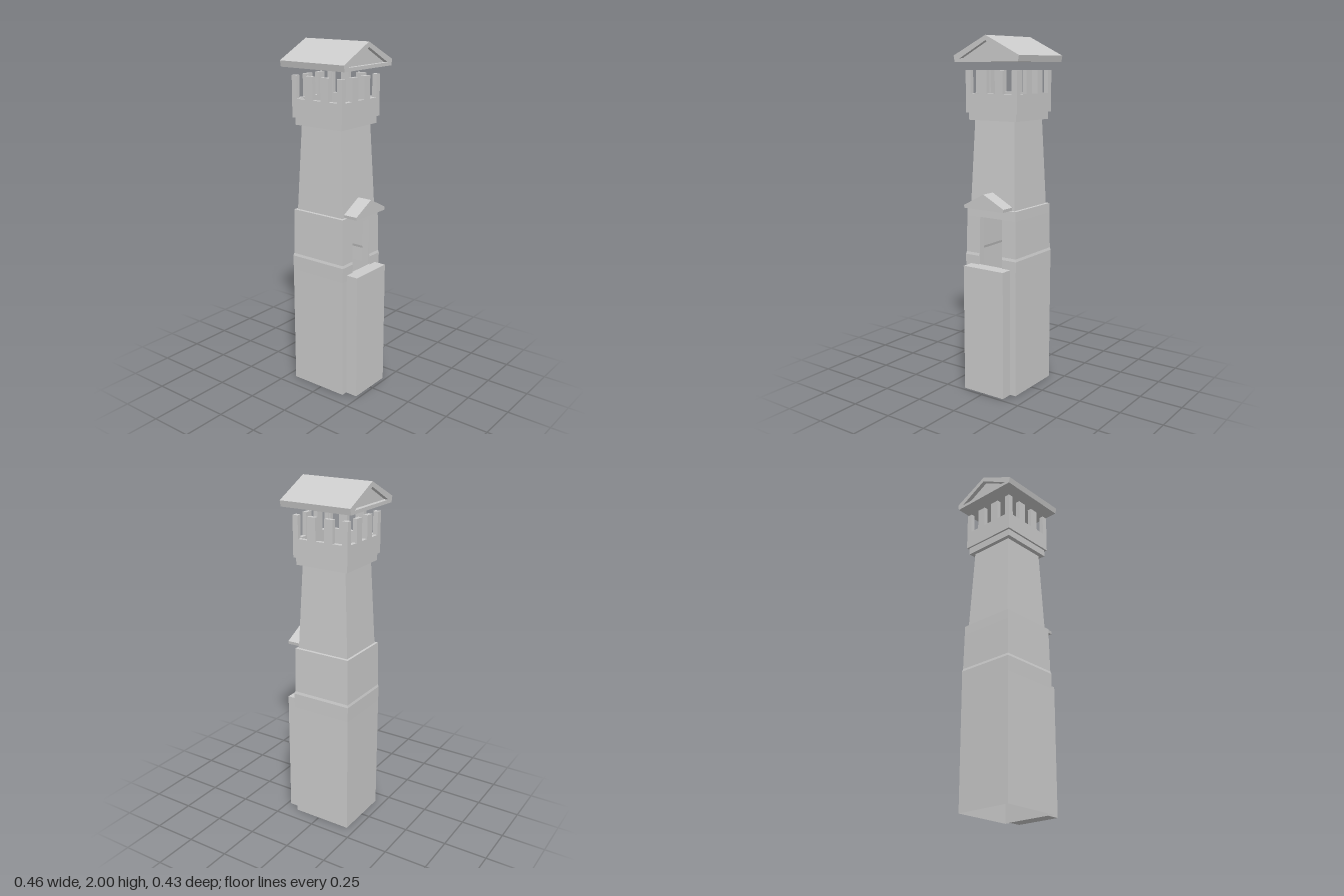
import * as THREE from 'three';

const grey = new THREE.MeshStandardMaterial({ color: 0xcccccc, flatShading: true, side: THREE.DoubleSide });
const CX = -0.02; // tower axis

function add(parent, name, geometry, x = 0, y = 0, z = 0) {
  const mesh = new THREE.Mesh(geometry, grey);
  mesh.name = name;
  mesh.position.set(x, y, z);
  parent.add(mesh);
  return mesh;
}

function box(parent, name, w, h, d, x, y, z) {
  return add(parent, name, new THREE.BoxGeometry(w, h, d), x, y, z);
}

function polygon(points, Type = THREE.Shape) {
  return new Type(points.map(([x, y]) => new THREE.Vector2(x, y)));
}

// Hollow tapering shaft from rectangular rings [y, half x, half z, door half width];
// a row whose rings both have a door width leaves an opening in its +x side.
function shaftGeometry(rings) {
  const pos = [];
  const quad = (a, b, c, d) => pos.push(...a, ...b, ...c, ...a, ...c, ...d);
  for (let i = 0; i + 1 < rings.length; i++) {
    const [y0, x0, z0, d0] = rings[i], [y1, x1, z1, d1] = rings[i + 1];
    quad([-x0, y0, z0], [x0, y0, z0], [x1, y1, z1], [-x1, y1, z1]);
    quad([x0, y0, -z0], [-x0, y0, -z0], [-x1, y1, -z1], [x1, y1, -z1]);
    quad([-x0, y0, -z0], [-x0, y0, z0], [-x1, y1, z1], [-x1, y1, -z1]);
    if (d0 && d1) {
      quad([x0, y0, z0], [x0, y0, d0], [x1, y1, d1], [x1, y1, z1]);
      quad([x0, y0, -d0], [x0, y0, -z0], [x1, y1, -z1], [x1, y1, -d1]);
    } else {
      quad([x0, y0, z0], [x0, y0, -z0], [x1, y1, -z1], [x1, y1, z1]);
    }
  }
  const g = new THREE.BufferGeometry();
  g.setAttribute('position', new THREE.Float32BufferAttribute(pos, 3));
  g.computeVertexNormals();
  return g;
}

// One parapet wall with three notches, centred on its length and thickness
function parapetWall(half, thickness) {
  const low = 1.692, top = 1.817;
  const pts = [[-half, 1.588], [half, 1.588], [half, top]];
  for (const [a, b] of [[0.137, 0.079], [0.027, -0.027], [-0.079, -0.137]]) {
    pts.push([a, top], [a, low], [b, low], [b, top]);
  }
  pts.push([-half, top]);
  const g = new THREE.ExtrudeGeometry(polygon(pts), { depth: thickness, bevelEnabled: false });
  return g.translate(0, 0, -thickness / 2);
}

// Extrude a (z, y) profile along x, from x0 to x1
function alongX(shape, x0, x1) {
  const g = new THREE.ExtrudeGeometry(shape, { depth: x1 - x0, bevelEnabled: false });
  return g.rotateY(Math.PI / 2).translate(x0, 0, 0);
}

export function createModel() {
  const model = new THREE.Group();
  model.name = 'watchtower';

  // Shaft: straight base, sloped ledge, doorway storey, step and tapered upper part
  add(model, 'shaft', shaftGeometry([
    [0, 0.178, 0.171, 0],
    [0.7, 0.179, 0.172, 0.08],
    [0.785, 0.18, 0.173, 0.081],
    [0.8, 0.176, 0.169, 0.079],
    [1.01, 0.173, 0.166, 0.074],
    [1.063, 0.172, 0.165, 0],
    [1.064, 0.159, 0.149, 0],
    [1.55, 0.135, 0.133, 0],
  ]), CX);

  // Doorway reveal
  const doorway = new THREE.Group();
  doorway.name = 'doorway';
  model.add(doorway);
  for (const s of [1, -1]) box(doorway, 'doorJamb', 0.04, 0.33, 0.025, 0.13, 0.865, s * 0.0925);
  box(doorway, 'doorLintel', 0.04, 0.02, 0.21, 0.13, 1.021, 0);

  // Block below the doorway and the small gabled hood above it
  box(model, 'doorstepBlock', 0.08, 0.735, 0.27, 0.19, 0.3675, 0);
  add(model, 'doorHood', alongX(polygon([
    [-0.132, 1.066], [0.132, 1.066], [0.134, 1.083], [0, 1.153], [-0.134, 1.083],
  ]), 0.12, 0.222));

  // Collar carrying the parapet
  box(model, 'collar', 0.318, 0.042, 0.318, CX, 1.568, 0);

  // Crenellated parapet
  const parapet = new THREE.Group();
  parapet.name = 'parapet';
  parapet.position.x = CX;
  model.add(parapet);
  const half = 0.17, t = 0.025;
  box(parapet, 'platformFloor', 0.338, 0.02, 0.338, 0, 1.599, 0);
  for (const s of [1, -1]) {
    add(parapet, 'parapetWall', parapetWall(half, t), 0, 0, s * (half - t / 2));
    add(parapet, 'parapetSideWall', parapetWall(half - t, t), s * (half - t / 2)).rotation.y = Math.PI / 2;
  }

  // Gabled roof with recessed triangular ends
  const roof = new THREE.Group();
  roof.name = 'roof';
  model.add(roof);
  const gable = [[-0.173, 1.88], [0.173, 1.88], [0, 1.972]];
  const shell = polygon([[-0.208, 1.861], [0.208, 1.861], [0.215, 1.895], [0, 2], [-0.215, 1.895]]);
  shell.holes.push(polygon(gable, THREE.Path));
  add(roof, 'roofShell', alongX(shell, -0.232, 0.197));
  add(roof, 'gableInfill', alongX(polygon(gable), -0.207, 0.172));

  return model;
}
